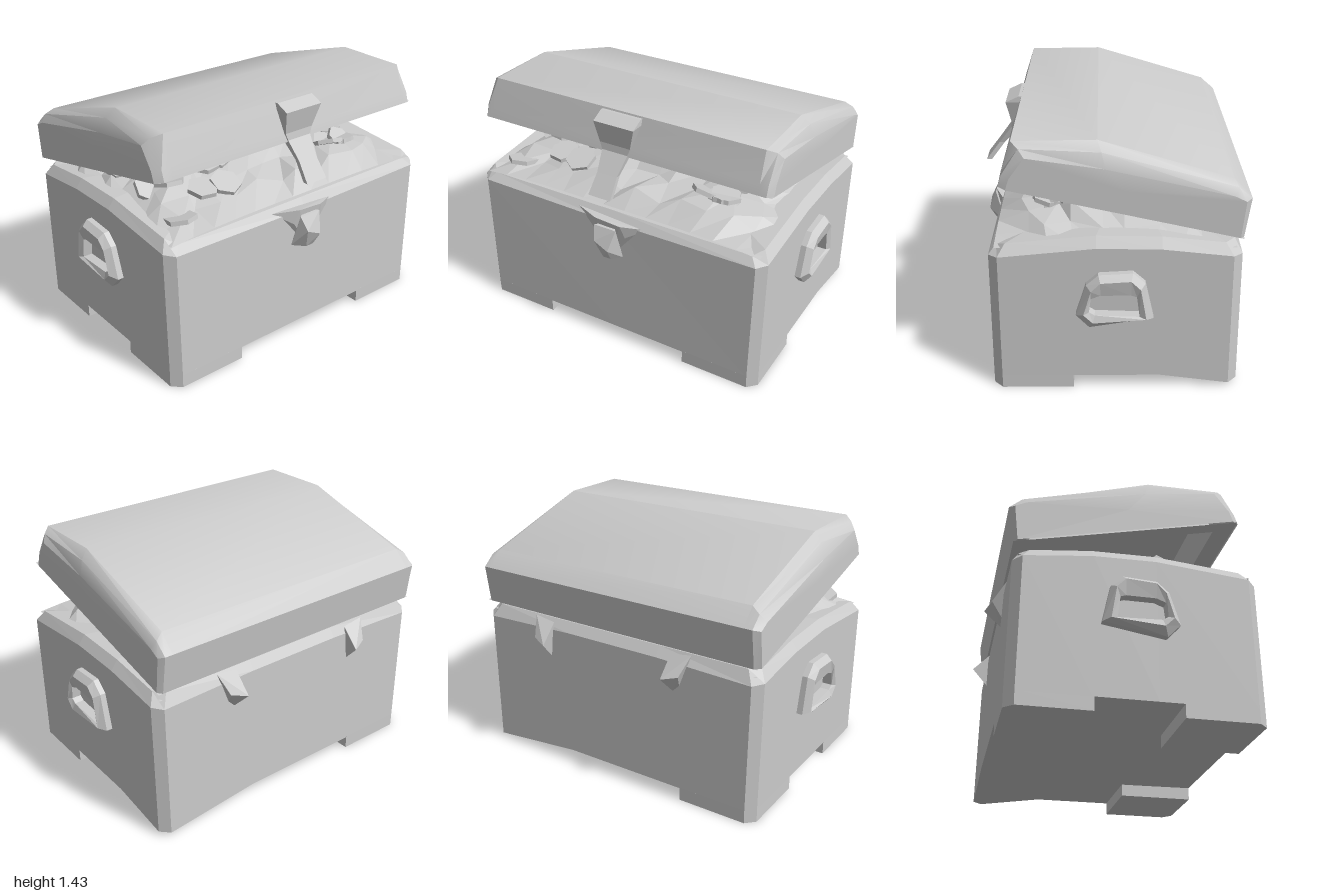
import * as THREE from 'three';
import { ConvexGeometry } from 'three/addons/geometries/ConvexGeometry.js';
import { toCreasedNormals } from 'three/addons/utils/BufferGeometryUtils.js';

const flat = new THREE.MeshStandardMaterial({ color: 0xcccccc, flatShading: true, side: THREE.DoubleSide });
const smooth = new THREE.MeshStandardMaterial({ color: 0xcccccc, side: THREE.DoubleSide });

function mesh(name, geometry, material = flat) {
  const m = new THREE.Mesh(geometry, material);
  m.name = name;
  return m;
}

// Skin a list of equal-length rings of [x, y, z]; optionally cap and close them.
function loft(rings, { start = true, end = true, closed = true } = {}) {
  const n = rings[0].length, pos = rings.flat(2), index = [];
  for (let r = 0; r < rings.length - 1; r++) {
    for (let k = 0; k < (closed ? n : n - 1); k++) {
      const a = r * n + k, b = r * n + (k + 1) % n;
      index.push(a, b, a + n, b, b + n, a + n);
    }
  }
  const cap = (r, flip) => {
    const c = pos.length / 3;
    for (let j = 0; j < 3; j++) pos.push(rings[r].reduce((s, p) => s + p[j], 0) / n);
    for (let k = 0; k < n; k++) {
      const a = r * n + k, b = r * n + (k + 1) % n;
      index.push(...(flip ? [b, a, c] : [a, b, c]));
    }
  };
  if (start) cap(0, true);
  if (end) cap(rings.length - 1, false);
  const g = new THREE.BufferGeometry();
  g.setAttribute('position', new THREE.Float32BufferAttribute(pos, 3));
  g.setIndex(index);
  g.computeVertexNormals();
  return g;
}

const hull = (pts) => new ConvexGeometry(pts.map((p) => new THREE.Vector3(...p)));

// Plan outline of the chest with chamfered corners, counterclockwise from above.
function outline(w, d, c, height) {
  return [
    [w, d - c], [w, 0.1], [w, -0.24], [w, -d + c], [w - c, -d], [0.3, -d], [-0.3, -d], [-w + c, -d],
    [-w, -d + c], [-w, -0.24], [-w, 0.1], [-w, d - c], [-w + c, d], [0, d], [w - c, d],
  ].map(([x, z]) => [x, height(x, z), z]);
}

function makeBody() {
  const g = new THREE.Group();
  g.name = 'body';
  // The underside dips at one back corner, where it stands in for a foot.
  const bottom = (x, z) => (x > 0.8 && z < -0.5 ? 0.02 : 0.075);
  const rim = (x, z) => (Math.abs(x) > 0.84 ? 0.83 + 0.06 * (1 - (z / 0.67) ** 2) : z > 0 ? 0.82 : 0.85);
  g.add(mesh('box', loft([
    outline(0.92, 0.67, 0.05, bottom),
    outline(0.93, 0.66, 0.05, (x, z) => rim(x, z) - 0.02),
    outline(0.89, 0.62, 0.05, (x, z) => rim(x, z) + 0.035),
  ])));
  // Corner feet
  for (const [sx, sz] of [[1, 1], [-1, 1], [-1, -1]]) {
    const foot = new THREE.Shape([
      [0.46, 0.23], [0.92, 0.23], [0.92, 0.62], [0.87, 0.67], [0.46, 0.67],
    ].map(([x, z]) => new THREE.Vector2(x * sx, -z * sz)));
    const geo = new THREE.ExtrudeGeometry(foot, { depth: 0.08, bevelEnabled: false });
    geo.rotateX(-Math.PI / 2);
    g.add(mesh('foot', geo));
  }
  return g;
}

function makeLid() {
  const g = new THREE.Group();
  g.name = 'lid';
  // Side profiles as [z, y], from front lip over the top to the back lip
  const full = [[0.59, 1.2], [0.575, 1.26], [0.52, 1.425], [0.09, 1.43], [-0.6, 1.22], [-0.69, 1.13], [-0.66, 0.91]];
  const mid = [[0.59, 1.2], [0.57, 1.26], [0.48, 1.4], [0.07, 1.38], [-0.62, 1.19], [-0.69, 1.13], [-0.66, 0.91]];
  const tip = [[0.55, 1.19], [0.53, 1.25], [0.45, 1.36], [0.05, 1.3], [-0.6, 1.15], [-0.66, 1.12], [-0.64, 0.915]];
  const at = (x, profile) => profile.map(([z, y]) => [x, y, z]);
  const shell = loft([at(0.91, tip), at(0.885, mid), at(0.84, full), at(-0.84, full), at(-0.89, mid), at(-0.925, tip)],
    { closed: false });
  g.add(mesh('lidShell', toCreasedNormals(shell, 0.5), smooth));
  // Rim and hollow underside
  const rect = (w, front, back, lift) => [[w, front], [-w, front], [-w, back], [w, back]]
    .map(([x, z]) => [x, 1.2 + (z - 0.59) * 0.232 + lift, z]);
  g.add(mesh('lidInside', loft([
    rect(0.91, 0.58, -0.66, 0), rect(0.83, 0.46, -0.57, 0), rect(0.79, 0.42, -0.56, 0.19),
  ], { start: false })));
  // Clasp strap: rows of left x, right x, y, front z, thickness
  const rows = [
    [-0.08, 0.06, 1.005, 0.75, 0.03], [-0.07, 0.055, 1.11, 0.67, 0.03], [-0.085, 0.075, 1.21, 0.595, 0.05],
    [-0.1, 0.09, 1.25, 0.59, 0.05], [-0.12, 0.13, 1.38, 0.615, 0.1], [-0.12, 0.13, 1.415, 0.54, 0.06],
  ];
  g.add(mesh('claspStrap', loft(rows.map(([l, r, y, z, t]) => [[r, y, z], [r, y, z - t], [l, y, z - t], [l, y, z]]))));
  return g;
}

function makeTreasure() {
  const g = new THREE.Group();
  g.name = 'treasure';
  let seed = 7;
  const rand = () => (seed = (seed * 16807) % 2147483647) / 2147483647;
  const heapY = (x, z) => 0.85 + 0.17 * Math.max(0, 1 - Math.abs(x / 0.92) ** 4) * Math.max(0, 1 - Math.abs((z - 0.04) / 0.64) ** 2.5);
  // Lumpy heap
  const heap = new THREE.PlaneGeometry(1.78, 1.26, 13, 9).rotateX(-Math.PI / 2);
  const p = heap.attributes.position;
  for (let i = 0; i < p.count; i++) {
    const x = p.getX(i), z = p.getZ(i);
    const inside = Math.abs(x) < 0.85 && Math.abs(z) < 0.6 ? 1 : 0;
    p.setXYZ(i, x + inside * (rand() - 0.5) * 0.09, heapY(x, z) + inside * (rand() - 0.5) * 0.06,
      z + inside * (rand() - 0.5) * 0.09);
  }
  g.add(mesh('heap', heap));
  // Half-buried coins
  for (let i = 0; i < 22; i++) {
    const x = (rand() - 0.5) * 1.5, z = -0.25 + rand() * 0.75;
    const coin = mesh('coin', new THREE.CylinderGeometry(0.09, 0.09, 0.025, 6));
    coin.position.set(x, heapY(x, z) + 0.005, z);
    coin.rotation.set((rand() - 0.4) * 0.9, rand() * 3, (rand() - 0.5) * 0.7);
    g.add(coin);
  }
  return g;
}

function makeLock() {
  const g = new THREE.Group();
  g.name = 'lock';
  g.add(mesh('lockPlate', hull([
    [-0.23, 0.83, 0.64], [0.22, 0.81, 0.64], [0.1, 0.74, 0.68], [-0.1, 0.74, 0.68],
    [-0.08, 0.83, 0.7], [0.08, 0.82, 0.7], [0, 0.6, 0.67],
  ])));
  g.add(mesh('lockBlock', hull([
    [-0.1, 0.6, 0.66], [0.07, 0.59, 0.66], [-0.03, 0.59, 0.71], [0.02, 0.59, 0.71],
    [-0.06, 0.71, 0.75], [0.03, 0.67, 0.755], [-0.08, 0.79, 0.71], [0.06, 0.79, 0.71], [0, 0.8, 0.64],
  ])));
  return g;
}

// Side handle: a rough ring that is fuller at the wall than at its outer face
function makeHandle(side) {
  const wall = [[0.21, 0.49], [0.155, 0.67], [0.09, 0.73], [-0.09, 0.74], [-0.155, 0.68], [-0.2, 0.47], [0.14, 0.415]];
  const outer = [[0.17, 0.51], [0.13, 0.65], [0.08, 0.7], [-0.08, 0.71], [-0.13, 0.66], [-0.16, 0.48], [0.12, 0.46]];
  const inner = [[0.14, 0.52], [0.13, 0.6], [0.08, 0.62], [-0.08, 0.62], [-0.11, 0.61], [-0.125, 0.49], [0.11, 0.5]];
  const at = (x, pts) => pts.map(([z, y]) => [x * side, y, z]);
  const rings = [at(0.91, wall), at(0.96, wall), at(0.995, outer), at(0.98, inner), at(0.91, inner)];
  // Mirroring swaps the winding, and the listed order runs clockwise seen from +x
  if (side > 0) rings.forEach((r) => r.reverse());
  return mesh(side > 0 ? 'leftHandle' : 'rightHandle', loft(rings, { start: false, end: false }));
}

export function createModel() {
  const model = new THREE.Group();
  model.name = 'treasureChest';
  model.add(makeBody(), makeLid(), makeTreasure(), makeLock(), makeHandle(1), makeHandle(-1));
  // Pointed hinges on the back wall
  for (const side of [1, -1]) {
    model.add(mesh('hinge', hull([
      [0.41, 0.87, -0.65], [0.54, 0.89, -0.65], [0.41, 0.76, -0.755], [0.5, 0.78, -0.72],
      [0.43, 0.66, -0.66], [0.47, 0.7, -0.66],
    ].map(([x, y, z]) => [side > 0 ? x : -x + 0.02, y, z]))));
  }
  return model;
}
